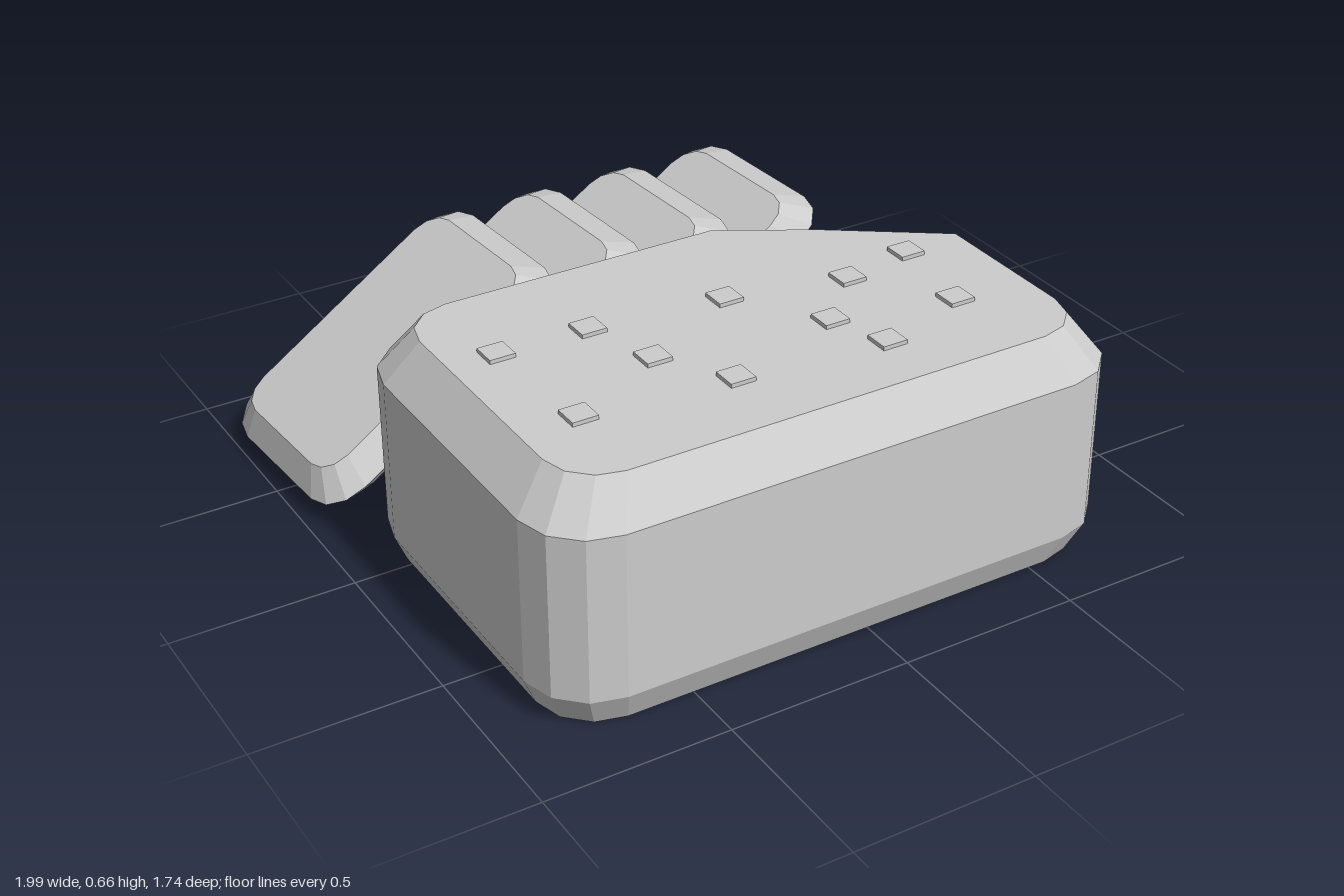
import * as THREE from 'three';

const stone = new THREE.MeshStandardMaterial({ color: 0xcccccc });
stone.name = 'pale grey';

// Rounded rectangle at height y; `cut` replaces the +x / -z corner
function ring(y, x0, x1, z0, z1, r, cut) {
  const pts = [];
  const centres = [[x1 - r, z0 + r], [x0 + r, z0 + r], [x0 + r, z1 - r], [x1 - r, z1 - r]];
  centres.forEach(([cx, cz], c) => {
    if (c === 0 && cut) {
      cut.forEach(([x, z]) => pts.push([x, y, z]));
      return;
    }
    for (let i = 0; i <= 3; i++) {
      const a = (c + i / 3) * Math.PI / 2;
      pts.push([cx + r * Math.cos(a), y, cz - r * Math.sin(a)]);
    }
  });
  return pts;
}

// Faceted solid through rings from bottom to top, closed with fans
function loft(rings) {
  const pos = [];
  const tri = (a, b, c) => pos.push(...a, ...b, ...c);
  const centre = (r) => [0, 1, 2].map((k) => r.reduce((s, p) => s + p[k], 0) / r.length);
  const n = rings[0].length;
  const bottom = rings[0], top = rings[rings.length - 1];
  const cb = centre(bottom), ct = centre(top);
  for (let i = 0; i < n; i++) {
    const j = (i + 1) % n;
    for (let k = 0; k + 1 < rings.length; k++) {
      const a = rings[k], b = rings[k + 1];
      tri(a[i], a[j], b[j]);
      tri(a[i], b[j], b[i]);
    }
    tri(cb, bottom[j], bottom[i]);
    tri(ct, top[i], top[j]);
  }
  const g = new THREE.BufferGeometry();
  g.setAttribute('position', new THREE.Float32BufferAttribute(pos, 3));
  g.computeVertexNormals();
  return g;
}

// Thin slab, widest at mid thickness, bevelled above and below
function slabGeometry(thickness) {
  const L = 0.435, W = 0.31, h = thickness / 2, b = 0.065;
  const small = (y) => ring(y, b - L, L - b, b - W, W - b, 0.08);
  return loft([small(-h), ring(0, -L, L, -W, W, 0.12), small(h)]);
}

export function createModel() {
  const model = new THREE.Group();
  const add = (name, geometry, x, y, z) => {
    const m = new THREE.Mesh(geometry, stone);
    m.name = name;
    m.position.set(x, y, z);
    model.add(m);
    return m;
  };

  // Main block with one sliced-off corner
  add('block', loft([
    ring(0, -0.84, 0.71, -0.19, 0.83, 0.16, [[0.71, 0.02], [0.6, -0.08], [0.42, -0.19]]),
    ring(0.09, -0.88, 0.75, -0.19, 0.87, 0.18, [[0.75, 0.015], [0.62, -0.08], [0.42, -0.19]]),
    ring(0.54, -0.88, 0.75, -0.19, 0.87, 0.18, [[0.75, 0.12], [0.52, -0.05], [0.28, -0.19]]),
    ring(0.65, -0.79, 0.67, -0.12, 0.79, 0.14, [[0.67, 0.23], [0.37, 0.02], [0.13, -0.12]]),
  ]), 0, 0, 0);

  // Small raised squares on the top
  const spots = [[-0.66, 0.175], [-0.63, 0.53], [-0.41, 0.18], [-0.345, 0.385], [-0.225, 0.57],
    [-0.04, 0.22], [0.125, 0.45], [0.185, 0.61], [0.285, 0.29], [0.495, 0.25], [0.455, 0.52]];
  const spot = new THREE.BoxGeometry(0.07, 0.02, 0.07);
  spots.forEach(([x, z]) => add('topSquare', spot, x, 0.651, z));

  // Four slices leaning in a row
  const leaning = slabGeometry(0.13);
  for (let i = 0; i < 4; i++) {
    const s = add('leaningSlice', leaning, -0.615 + i * 0.277, 0.293, -0.54);
    s.rotation.set(0, 0.058, 0.565, 'YZX');
  }

  // Two slices lying flat
  const flat = slabGeometry(0.08);
  add('upperFlatSlice', flat, 0.55, 0.12, -0.54).rotation.y = 0.058;
  add('lowerFlatSlice', flat, 0.42, 0.04, -0.445).rotation.y = 0.058;

  return model;
}
